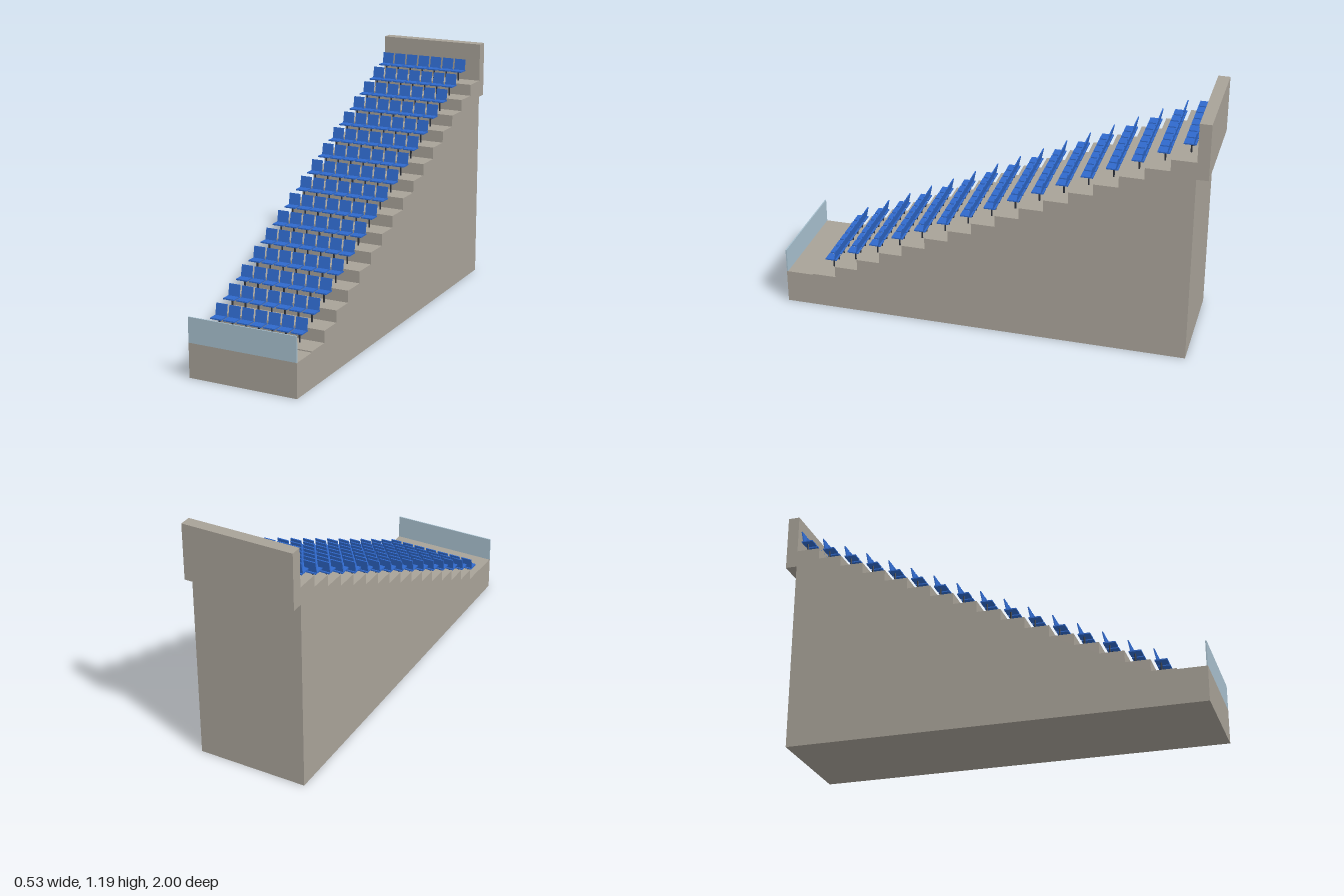
import * as THREE from 'three';

const WIDTH = 0.53, ROWS = 16, COLS = 7;
const PITCH = 0.1131, RISE = 0.0558;
const FIRST_Z = 0.865, FIRST_Y = 0.167, DECK_Y = 0.162, BACK_Z = -0.945;

const mat = (name, color) => {
  const m = new THREE.MeshStandardMaterial({ color });
  m.name = name;
  return m;
};

function part(name, geometry, material, x = 0, y = 0, z = 0) {
  const mesh = new THREE.Mesh(geometry, material);
  mesh.name = name;
  mesh.position.set(x, y, z);
  return mesh;
}

export function createModel() {
  const concrete = mat('concrete', 0xa8a298);
  const seatBlue = mat('seat blue', 0x2f69cc);
  const postDark = mat('post dark', 0x2b303a);
  const glass = mat('barrier glass', 0xa8c0ce);

  const model = new THREE.Group();
  model.name = 'grandstand';

  // Stepped terrace: side profile in (z, y), extruded across the width
  const profile = new THREE.Shape();
  profile.moveTo(BACK_Z, 0);
  profile.lineTo(1, 0);
  profile.lineTo(1, DECK_Y);
  profile.lineTo(FIRST_Z, DECK_Y);
  for (let r = 0; r < ROWS; r++) {
    const y = FIRST_Y + r * RISE;
    profile.lineTo(FIRST_Z - r * PITCH, y);
    profile.lineTo(r === ROWS - 1 ? BACK_Z : FIRST_Z - (r + 1) * PITCH, y);
  }
  const terrace = new THREE.ExtrudeGeometry(profile, { depth: WIDTH, bevelEnabled: false });
  terrace.rotateY(-Math.PI / 2).translate(WIDTH / 2, 0, 0);
  model.add(part('terrace', terrace, concrete));

  // Rear wall and front barrier
  model.add(part('rearWall', new THREE.BoxGeometry(WIDTH, 0.267, 0.055), concrete, 0, 1.0555, -0.9725));
  model.add(part('frontBarrier', new THREE.BoxGeometry(WIDTH, 0.118, 0.006), glass, 0, 0.221, 0.997));

  // Shared seat parts
  const panGeo = new THREE.BoxGeometry(0.056, 0.006, 0.056);
  const backGeo = new THREE.BoxGeometry(0.056, 0.054, 0.005);
  backGeo.rotateX(-0.2);
  const postGeo = new THREE.CylinderGeometry(0.004, 0.004, 0.048, 8);

  // Rows of seats, leaving a stair aisle on the left
  for (let r = 0; r < ROWS; r++) {
    const row = new THREE.Group();
    row.name = `seatRow${r + 1}`;
    row.position.set(0, FIRST_Y + r * RISE, 0.797 - r * PITCH);
    for (let c = 0; c < COLS; c++) {
      const seat = new THREE.Group();
      seat.name = 'seat';
      seat.position.x = -0.234 + c * 0.0668;
      seat.add(
        part('seatPan', panGeo, seatBlue, 0, 0.05, 0),
        part('seatBack', backGeo, seatBlue, 0, 0.079, -0.0235),
        part('seatPost', postGeo, postDark, 0, 0.024, -0.004)
      );
      row.add(seat);
    }
    model.add(row);
  }
  return model;
}
